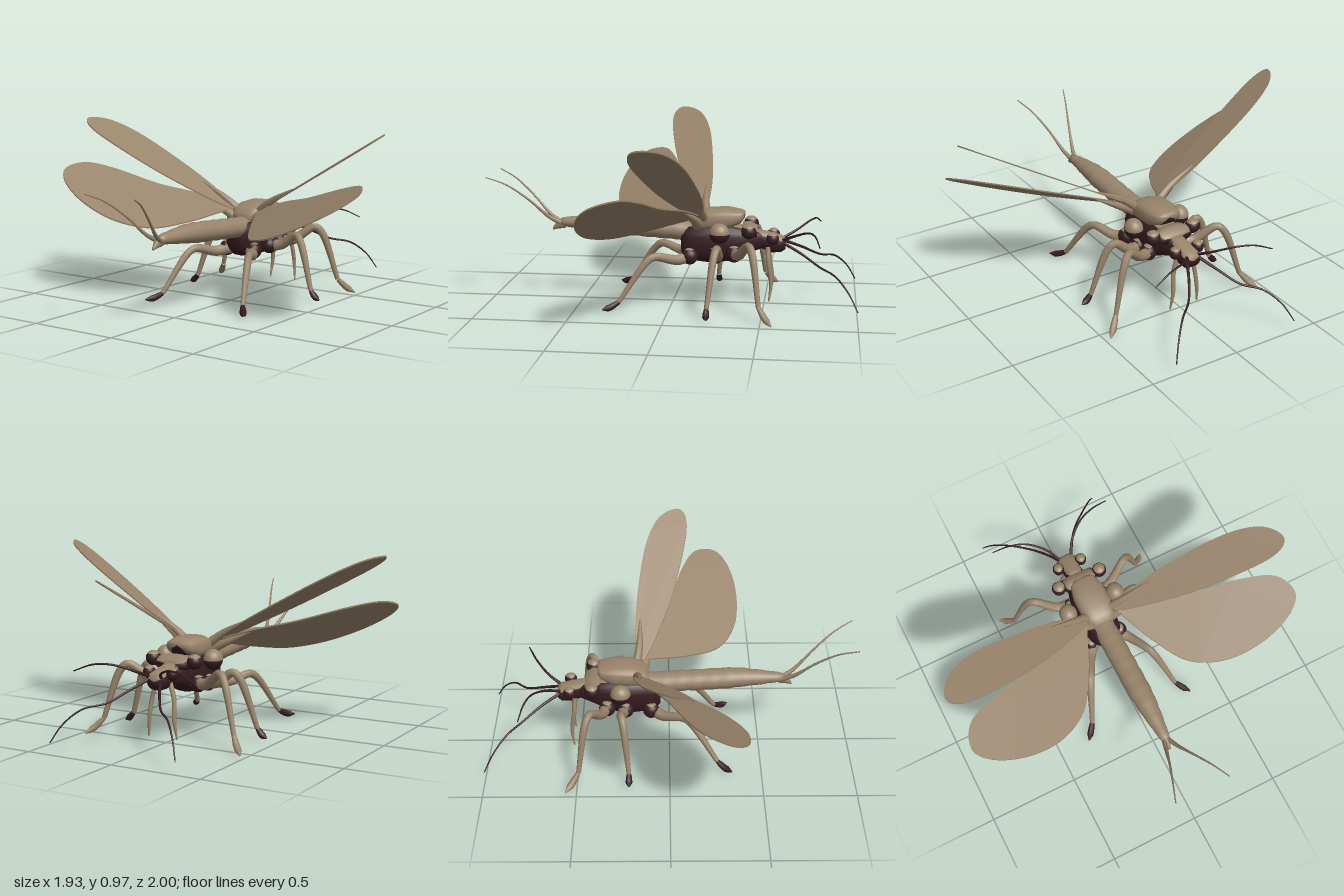
import * as THREE from 'three';

const paint = (name, color) => {
  const m = new THREE.MeshStandardMaterial({ color });
  m.name = name;
  return m;
};

export function createModel() {
  const tan = paint('tan shell', 0x98836a);
  const dark = paint('dark underside', 0x351c20);
  const root = new THREE.Group();
  root.name = 'wingedInsect';
  const add = (name, geo, mat) => {
    const m = new THREE.Mesh(geo, mat);
    m.name = name;
    root.add(m);
    return m;
  };

  // Body from rings [z, centreY, halfWidth, halfHeight]; faces above `split` are tan, the rest dark
  function loft(name, rings, split = -2, power = 1) {
    const n = 24, pos = [], upper = [], lower = [];
    const soft = v => Math.sign(v) * Math.abs(v) ** power;
    const all = [[...rings[0].slice(0, 2), 0, 0], ...rings, [...rings.at(-1).slice(0, 2), 0, 0]];
    all.forEach(([z, cy, rx, ry], i) => {
      for (let j = 0; j < n; j++) {
        const a = (j / n) * Math.PI * 2;
        pos.push(rx * soft(Math.cos(a)), cy + ry * soft(Math.sin(a)), z);
        if (i === all.length - 1) continue;
        const p = i * n + j, q = i * n + (j + 1) % n;
        const list = Math.sin(a + Math.PI / n) > split ? upper : lower;
        list.push(p, q, p + n, q, q + n, p + n);
      }
    });
    const g = new THREE.BufferGeometry();
    g.setAttribute('position', new THREE.Float32BufferAttribute(pos, 3));
    g.setIndex([...upper, ...lower]);
    g.addGroup(0, upper.length, 0);
    g.addGroup(upper.length, lower.length, 1);
    g.computeVertexNormals();
    return add(name, g, [tan, dark]);
  }

  // Tapered tube through points, with radii spread evenly along its length
  function limb(name, pts, radii, mat, s) {
    const curve = new THREE.CatmullRomCurve3(pts.map(p => new THREE.Vector3(p[0] * s, p[1], p[2])), false, 'centripetal');
    const n = 32, sides = 8;
    const g = new THREE.TubeGeometry(curve, n, 1, sides);
    const p = g.attributes.position, v = new THREE.Vector3();
    for (let i = 0; i <= n; i++) {
      const c = curve.getPointAt(i / n);
      const t = (i / n) * (radii.length - 1), k = Math.min(Math.floor(t), radii.length - 2);
      const r = THREE.MathUtils.lerp(radii[k], radii[k + 1], t - k);
      for (let j = 0; j <= sides; j++) {
        const id = i * (sides + 1) + j;
        v.fromBufferAttribute(p, id).sub(c).multiplyScalar(r).add(c);
        p.setXYZ(id, v.x, v.y, v.z);
      }
    }
    add(name, g, mat);
  }

  // Ellipsoid with a tan cap down to angle `cut` and a dark lower part
  function lump(name, center, size, cut, s) {
    [[0, cut, tan, 'Top'], [cut, Math.PI - cut, dark, 'Base']].forEach(([a, len, mat, part]) => {
      if (len < 0.01) return;
      const m = add(name + part, new THREE.SphereGeometry(1, 20, 12, 0, Math.PI * 2, a, len), mat);
      m.scale.set(...size);
      m.position.set(center[0] * s, center[1], center[2]);
    });
  }

  // Thin wing: outline in x,z, lifted onto a sloping plane
  function wing(name, outline, height, s) {
    const shape = new THREE.Shape();
    const pts = outline.map(p => new THREE.Vector2(p[0] * s, p[1]));
    shape.moveTo(pts[0].x, pts[0].y);
    shape.splineThru(pts.slice(1));
    const g = new THREE.ExtrudeGeometry(shape, { depth: 0.008, bevelEnabled: false, curveSegments: 40 });
    g.rotateX(Math.PI / 2);
    const p = g.attributes.position;
    for (let i = 0; i < p.count; i++) p.setY(i, p.getY(i) + height(Math.abs(p.getX(i)), p.getZ(i)));
    g.computeVertexNormals();
    add(name, g, tan);
  }

  // Abdomen with slight segment ridges
  const abdomen = [];
  for (let i = 0; i <= 27; i++) {
    const t = i / 27, z = -0.16 + t * 0.78;
    const r = (t < 0.6 ? 0.064 : 0.064 - 0.038 * ((t - 0.6) / 0.4) ** 1.4) * (i % 3 ? 1 : 0.95);
    abdomen.push([z, 0.40 + 0.035 * Math.min(1, t * 1.4), r, r * 0.88]);
  }
  loft('abdomen', abdomen);
  loft('tailTip', [[0.6, 0.43, 0.022, 0.03], [0.64, 0.42, 0.018, 0.025], [0.67, 0.395, 0.006, 0.008]]);

  // Thorax, back shield and head
  loft('thorax', [
    [-0.05, 0.35, 0.06, 0.07], [-0.09, 0.345, 0.09, 0.1], [-0.2, 0.345, 0.105, 0.11],
    [-0.32, 0.35, 0.1, 0.105], [-0.4, 0.36, 0.08, 0.075], [-0.49, 0.365, 0.05, 0.045],
  ].reverse(), 0.8, 0.75);
  loft('backShield', [
    [-0.39, 0.5, 0.05, 0.018], [-0.37, 0.49, 0.075, 0.035], [-0.3, 0.48, 0.092, 0.058],
    [-0.2, 0.475, 0.092, 0.058], [-0.14, 0.46, 0.08, 0.048], [-0.11, 0.45, 0.06, 0.03],
  ], -0.8, 0.7);
  loft('frontCollar', [
    [-0.46, 0.41, 0.09, 0.025], [-0.42, 0.415, 0.11, 0.04], [-0.38, 0.42, 0.09, 0.035],
  ], 0.45, 0.8);
  loft('head', [
    [-0.612, 0.345, 0.04, 0.03], [-0.59, 0.345, 0.056, 0.045], [-0.54, 0.35, 0.052, 0.055],
    [-0.49, 0.365, 0.05, 0.05], [-0.44, 0.38, 0.05, 0.045],
  ], 0.6, 0.8);

  const foreOutline = [[0.08, -0.16], [0.2, -0.185], [0.4, -0.18], [0.7, -0.135], [0.88, -0.06], [0.96, 0.045],
    [0.93, 0.1], [0.8, 0.1], [0.5, 0.03], [0.25, -0.06], [0.1, -0.13], [0.08, -0.16]];
  const hindOutline = [[0.08, -0.16], [0.29, -0.1], [0.5, 0], [0.75, 0.08], [0.9, 0.16], [0.95, 0.28],
    [0.87, 0.36], [0.7, 0.4], [0.5, 0.38], [0.32, 0.28], [0.2, 0.1], [0.12, -0.07], [0.08, -0.16]];
  const legs = {
    frontLeg: [[0.08, 0.3, -0.34], [0.17, 0.31, -0.37], [0.28, 0.385, -0.43], [0.315, 0.35, -0.45], [0.395, 0.09, -0.49]],
    middleLeg: [[0.08, 0.29, -0.24], [0.17, 0.3, -0.26], [0.26, 0.36, -0.26], [0.295, 0.33, -0.25], [0.385, 0.07, -0.22]],
    hindLeg: [[0.07, 0.28, -0.1], [0.12, 0.265, -0.04], [0.18, 0.29, 0.08], [0.2, 0.265, 0.12], [0.265, 0.06, 0.26]],
  };
  const feet = { frontLeg: [0.47, 0.01, -0.56], middleLeg: [0.44, 0.022, -0.22], hindLeg: [0.325, 0.03, 0.34] };

  for (const s of [1, -1]) {
    const side = s > 0 ? 'East' : 'West';
    // Wings with thick root stems
    wing('foreWing' + side, foreOutline, (x, z) => 0.975 + 0.6 * (x - 0.96) - 0.24 * (z - 0.05), s);
    wing('hindWing' + side, hindOutline, (x, z) => 0.7 + 0.44 * (x - 0.95) - 0.42 * (z - 0.28), s);
    limb('foreWingRoot' + side, [[0.06, 0.48, -0.18], [0.14, 0.54, -0.165], [0.3, 0.63, -0.16]], [0.025, 0.018, 0.003], tan, s);
    limb('hindWingRoot' + side, [[0.05, 0.44, -0.14], [0.13, 0.485, -0.13], [0.28, 0.555, -0.09]], [0.03, 0.02, 0.003], tan, s);

    // Shoulder lumps and eyes
    lump('shoulder' + side, [0.145, 0.42, -0.265], [0.05, 0.055, 0.055], 1.6, s);
    lump('collarKnob' + side, [0.125, 0.43, -0.42], [0.04, 0.04, 0.04], 0.95, s);
    lump('eye' + side, [0.07, 0.382, -0.545], [0.032, 0.034, 0.034], 0.9, s);

    // Legs and dark feet
    for (const [name, pts] of Object.entries(legs)) {
      const end = pts.at(-1), toe = feet[name];
      const mid = [(end[0] + toe[0]) / 2, (end[1] + toe[1]) / 2 - 0.008, (end[2] + toe[2]) / 2];
      limb(name + side, pts, [0.035, 0.027, 0.022, 0.02, 0.016, 0.013], tan, s);
      limb(name + 'Foot' + side, [end, mid, toe], [0.012, 0.017, 0.018, 0.003], name === 'frontLeg' ? tan : dark, s);
      lump(name + 'Hip' + side, [pts[0][0] + 0.02, pts[0][1], pts[0][2]], [0.04, 0.045, 0.045], 0.6, s);
    }

    // Antennae, palps and tail filaments
    limb('longAntenna' + side, [[0.03, 0.36, -0.59], [0.09, 0.31, -0.7], [0.16, 0.255, -0.8], [0.25, 0.23, -0.88],
      [0.32, 0.16, -0.95], [0.365, 0.07, -1]], [0.009, 0.006, 0.005, 0.003], dark, s);
    limb('shortAntenna' + side, [[0.03, 0.365, -0.59], [0.08, 0.405, -0.67], [0.17, 0.44, -0.74], [0.26, 0.438, -0.775],
      [0.36, 0.4, -0.8]], [0.009, 0.006, 0.005, 0.003], dark, s);
    limb('palp' + side, [[0.04, 0.33, -0.52], [0.065, 0.25, -0.525], [0.075, 0.14, -0.54], [0.085, 0.04, -0.53]],
      [0.014, 0.012, 0.011, 0.004], tan, s);
    limb('tailFilament' + side, [[0.01, 0.43, 0.62], [0.03, 0.465, 0.68], [0.07, 0.57, 0.79], [0.115, 0.655, 0.9],
      [0.155, 0.7, 1]], [0.014, 0.007, 0.005, 0.003], tan, s);
  }
  return root;
}
